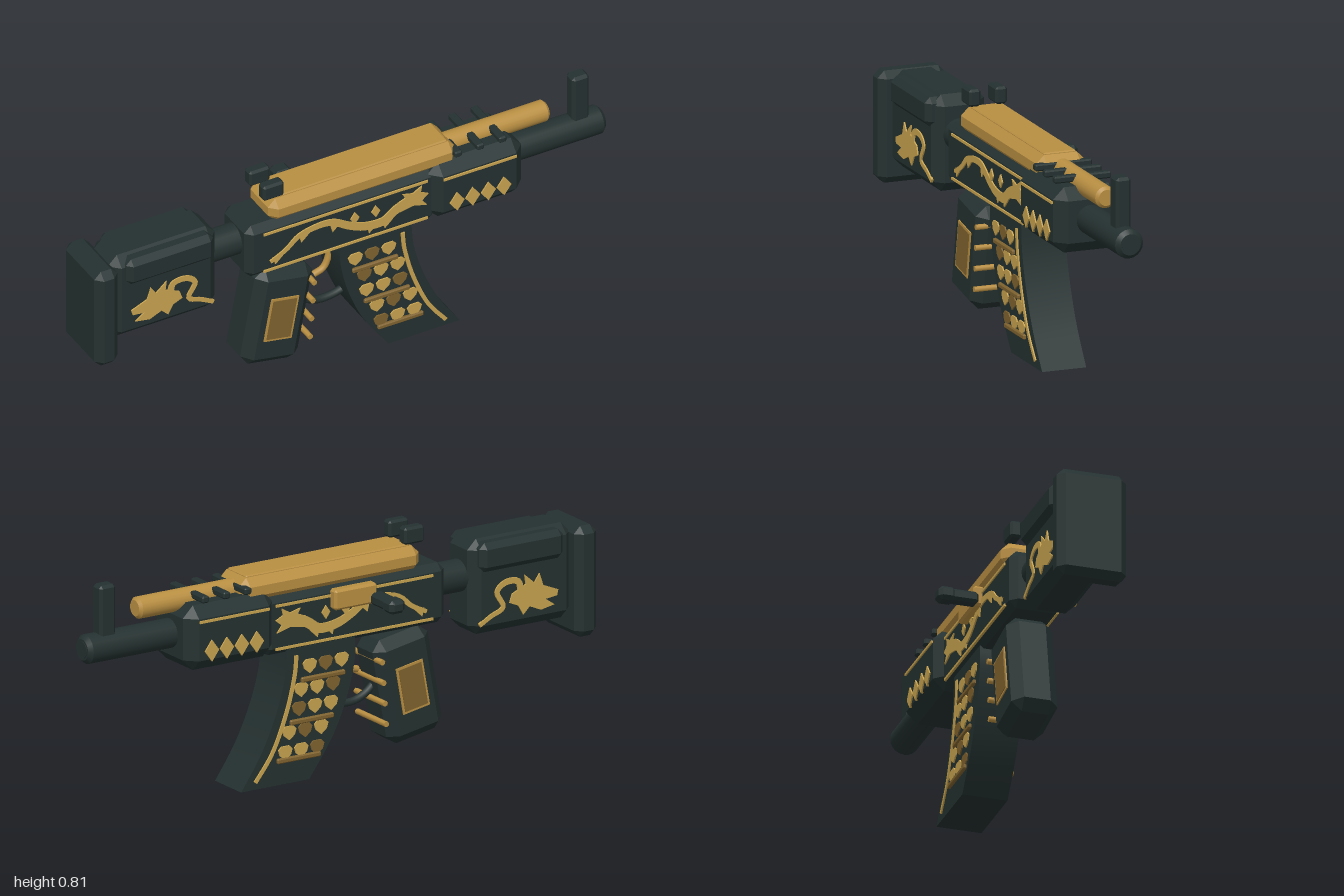
import * as THREE from 'three';
import { ConvexGeometry } from 'three/addons/geometries/ConvexGeometry.js';
import { toCreasedNormals } from 'three/addons/utils/BufferGeometryUtils.js';

const mat = (name, color) => {
  const m = new THREE.MeshStandardMaterial({ color });
  m.name = name;
  return m;
};

export function createModel() {
  const dark = mat('dark slate', 0x243130);
  const gold = mat('gold', 0xb98f42);
  const bright = mat('bright gold', 0xc9a450);
  const bronze = mat('bronze', 0x80632f);

  const root = new THREE.Group();
  const body = new THREE.Group();
  body.name = 'body';
  body.rotation.y = -Math.PI / 18;
  body.position.z = 0.028;
  root.add(body);

  const add = (name, geo, material, x = 0, y = 0, z = 0, parent = body) => {
    const m = new THREE.Mesh(geo, material);
    m.name = name;
    m.position.set(x, y, z);
    parent.add(m);
    return m;
  };

  // Box with all edges cut at 45 degrees
  const chamferBox = (l, h, w, c) => {
    const pts = [];
    for (const sx of [-1, 1]) for (const sy of [-1, 1]) for (const sz of [-1, 1])
      for (let k = 0; k < 3; k++) {
        const cut = [c, c, c];
        cut[k] = 0;
        pts.push(new THREE.Vector3(sx * (l / 2 - cut[0]), sy * (h / 2 - cut[1]), sz * (w / 2 - cut[2])));
      }
    return new ConvexGeometry(pts);
  };
  // Chamfered box given by its ranges along length and height, and its half width
  const block = (name, material, x0, x1, y0, y1, half, c, z = 0) =>
    add(name, chamferBox(x1 - x0, y1 - y0, half * 2, c), material, (x0 + x1) / 2, (y0 + y1) / 2, z);

  // Round rod along the length, with a bevelled tip
  const rod = (name, material, x0, x1, y, r, tip = 0) => {
    const geo = new THREE.CylinderGeometry(r, r, x1 - x0 - tip, 20).rotateZ(-Math.PI / 2);
    add(name, geo, material, (x0 + x1 - tip) / 2, y);
    if (tip) add(name + 'Tip', new THREE.CylinderGeometry(r - tip, r, tip, 20).rotateZ(-Math.PI / 2),
      material, x1 - tip / 2, y);
  };

  const poly = (pts) => new THREE.Shape(pts.map(([x, y]) => new THREE.Vector2(x, y)));
  // Thin inlay repeated on both flanks
  const inlay = (name, shape, material, half, x = 0, y = 0, parent = body) => {
    const geo = new THREE.ExtrudeGeometry(shape, { depth: 0.008, bevelEnabled: false, curveSegments: 6 });
    add(name + 'Left', geo, material, x, y, half - 0.003, parent);
    add(name + 'Right', geo, material, x, y, -half - 0.005, parent);
  };
  const rect = (w, h) => poly([[-w / 2, -h / 2], [w / 2, -h / 2], [w / 2, h / 2], [-w / 2, h / 2]]);
  const diamond = (w, h) => poly([[0, -h / 2], [w / 2, 0], [0, h / 2], [-w / 2, 0]]);
  // Curved band through points, tapering from width a to width b
  const ribbon = (pts, a, b, n = 30) => {
    const curve = new THREE.SplineCurve(pts.map(([x, y]) => new THREE.Vector2(x, y)));
    const up = [], down = [];
    for (let i = 0; i <= n; i++) {
      const t = i / n, p = curve.getPoint(t), d = curve.getTangent(t), w = (a + (b - a) * t) / 2;
      up.push([p.x - d.y * w, p.y + d.x * w]);
      down.unshift([p.x + d.y * w, p.y - d.x * w]);
    }
    return poly([...down.reverse(), ...up.reverse()]);
  };

  // Stock
  block('buttPlate', dark, -0.992, -0.903, 0.32, 0.71, 0.123, 0.025);
  block('stock', dark, -0.915, -0.505, 0.385, 0.72, 0.087, 0.035);
  block('cheekRest', dark, -0.865, -0.53, 0.61, 0.712, 0.108, 0.02);
  rod('stockNeck', dark, -0.53, -0.38, 0.585, 0.056);
  inlay('stockHead', poly([[-0.85, 0.5], [-0.79, 0.525], [-0.775, 0.57], [-0.755, 0.54], [-0.715, 0.575],
    [-0.72, 0.54], [-0.665, 0.515], [-0.655, 0.485], [-0.69, 0.47], [-0.71, 0.435], [-0.735, 0.46],
    [-0.78, 0.44], [-0.835, 0.45], [-0.8, 0.475], [-0.845, 0.48]]), bright, 0.087, 0.005);
  inlay('stockCurl', ribbon([[-0.7, 0.51], [-0.69, 0.555], [-0.64, 0.56], [-0.605, 0.53], [-0.63, 0.475],
    [-0.58, 0.45], [-0.535, 0.425]], 0.024, 0.014), bright, 0.087, 0.005);

  // Receiver and handguard
  block('receiver', dark, -0.4, 0.33, 0.46, 0.67, 0.092, 0.025);
  block('handguard', dark, 0.295, 0.655, 0.465, 0.692, 0.121, 0.04);
  for (const y of [0.636, 0.484]) inlay('receiverStripe', rect(0.63, 0.009), bright, 0.092, -0.025, y);
  inlay('handguardStripe', rect(0.28, 0.009), bright, 0.121, 0.475, 0.642);
  for (let i = 0; i < 4; i++) inlay('handguardDiamond', diamond(0.056, 0.076), bright, 0.121, 0.386 + i * 0.06, 0.536);

  // Serpent ornament
  inlay('serpentBody', ribbon([[-0.33, 0.515], [-0.27, 0.545], [-0.22, 0.585], [-0.15, 0.6], [-0.09, 0.595],
    [-0.03, 0.56], [0.03, 0.535], [0.1, 0.53], [0.15, 0.56], [0.2, 0.58]], 0.014, 0.04, 40), bright, 0.092, 0.016);
  inlay('serpentHead', poly([[0.17, 0.545], [0.22, 0.555], [0.275, 0.54], [0.255, 0.565], [0.28, 0.585],
    [0.25, 0.6], [0.255, 0.625], [0.22, 0.605], [0.18, 0.615], [0.195, 0.59], [0.16, 0.585]]), bright, 0.092, 0.012);
  for (const x of [-0.3, -0.2, -0.08, 0.06, 0.12])
    inlay('serpentFin', poly([[-0.02, 0], [0.02, 0], [-0.012, -0.03]]), bright, 0.092, x + 0.016,
      x < -0.25 ? 0.53 : x < 0 ? 0.585 : 0.53);
  for (const x of [0.01, 0.09]) inlay('pearl', diamond(0.034, 0.048), bright, 0.092, x, 0.582);

  // Top cover
  block('topCover', gold, -0.305, 0.415, 0.655, 0.744, 0.088, 0.028);
  block('coverPanel', gold, -0.27, 0.385, 0.735, 0.75, 0.058, 0.004);

  // Barrel, gas tube and its cross bars
  rod('barrel', dark, 0.63, 1.006, 0.582, 0.051, 0.014);
  add('muzzle', new THREE.CylinderGeometry(0.03, 0.03, 0.004, 20).rotateZ(-Math.PI / 2), dark, 1.006, 0.582);
  rod('gasTube', gold, 0.39, 0.795, 0.692, 0.038, 0.01);
  for (const x of [0.405, 0.49, 0.575]) block('crossBar', dark, x - 0.014, x + 0.014, 0.698, 0.722, 0.103, 0.005);

  // Sights
  block('frontSight', dark, 0.885, 0.95, 0.59, 0.8, 0.027, 0.01);
  for (const s of [-1, 1]) block('rearSight', dark, -0.325, -0.245, 0.75, 0.81, 0.021, 0.008, s * 0.048);

  // Bolt and handle on the right flank
  block('bolt', gold, -0.1, 0.07, 0.588, 0.66, 0.02, 0.008, -0.103);
  block('boltHandle', dark, -0.125, -0.073, 0.585, 0.627, 0.072, 0.01, -0.183);
  block('boltKnob', dark, -0.13, -0.068, 0.582, 0.63, 0.03, 0.012, -0.223);

  // Grip with side panels and finger bars
  const grip = new THREE.Group();
  grip.name = 'grip';
  grip.position.set(-0.266, 0.255, 0);
  grip.rotation.z = -0.18;
  body.add(grip);
  add('gripBody', chamferBox(0.225, 0.38, 0.164, 0.035), dark, 0, 0, 0, grip);
  inlay('gripPanelFrame', rect(0.108, 0.168), gold, 0.081, 0, 0, grip);
  inlay('gripPanel', rect(0.092, 0.152), bronze, 0.083, 0, 0, grip);
  for (let i = 0; i < 4; i++)
    add('fingerBar', new THREE.CylinderGeometry(0.01, 0.01, 0.18, 8).rotateX(Math.PI / 2), gold,
      0.115 + (1.5 - i) * -0.008, 0.128 - i * 0.073, 0, grip);

  // Trigger and guard
  const tube = (name, pts, r, material) => add(name, new THREE.TubeGeometry(
    new THREE.CatmullRomCurve3(pts.map(([x, y]) => new THREE.Vector3(x, y, 0))), 16, r, 8), material);
  tube('triggerGuard', [[-0.18, 0.28], [-0.13, 0.235], [-0.08, 0.215], [-0.02, 0.218], [0.03, 0.235]], 0.014, dark);
  tube('trigger', [[-0.03, 0.46], [-0.04, 0.38], [-0.06, 0.34], [-0.098, 0.325]], 0.012, gold);

  // Curved magazine: rear and front edges, from top to bottom
  const rear = [[-0.037, 0.47], [-0.037, 0.4], [-0.01, 0.28], [0.05, 0.14], [0.147, 0]];
  const front = [[0.235, 0.47], [0.245, 0.37], [0.28, 0.25], [0.34, 0.12], [0.42, 0]];
  const edge = (pts) => new THREE.SplineCurve(pts.map(([x, y]) => new THREE.Vector2(x, y))).getPoints(16);
  const outline = new THREE.Shape([...edge(rear), ...edge(front).reverse()]);
  const magGeo = new THREE.ExtrudeGeometry(outline, { depth: 0.16, bevelEnabled: false }).translate(0, 0, -0.08);
  add('magazine', toCreasedNormals(magGeo, 0.5), dark);
  inlay('magazineTrim', ribbon([[0.2, 0.445], [0.208, 0.37], [0.24, 0.25], [0.295, 0.12], [0.365, 0.025]],
    0.014, 0.014), bright, 0.08);

  // Magazine scales in rows, with bars between
  const rearX = (y) => 0.147 - 0.184 * Math.pow(Math.min(y, 0.42) / 0.42, 0.62);
  const scale = poly([[-0.028, 0.012], [-0.016, 0.024], [0.016, 0.024], [0.028, 0.012], [0.022, -0.008],
    [0, -0.026], [-0.022, -0.008]]);
  [0.4, 0.322, 0.256, 0.178, 0.11].forEach((y, row) => {
    for (let i = 0; i < 3; i++)
      inlay('scale', scale, (row + i) % 3 === 1 ? bronze : bright, 0.08,
        rearX(y) + 0.05 + i * 0.064 + (row % 2) * 0.012, y);
  });
  for (const y of [0.355, 0.212, 0.085])
    block('magazineBar', bronze, rearX(y) + 0.025, rearX(y) + 0.2, y - 0.009, y + 0.009, 0.09, 0.004);

  return root;
}
